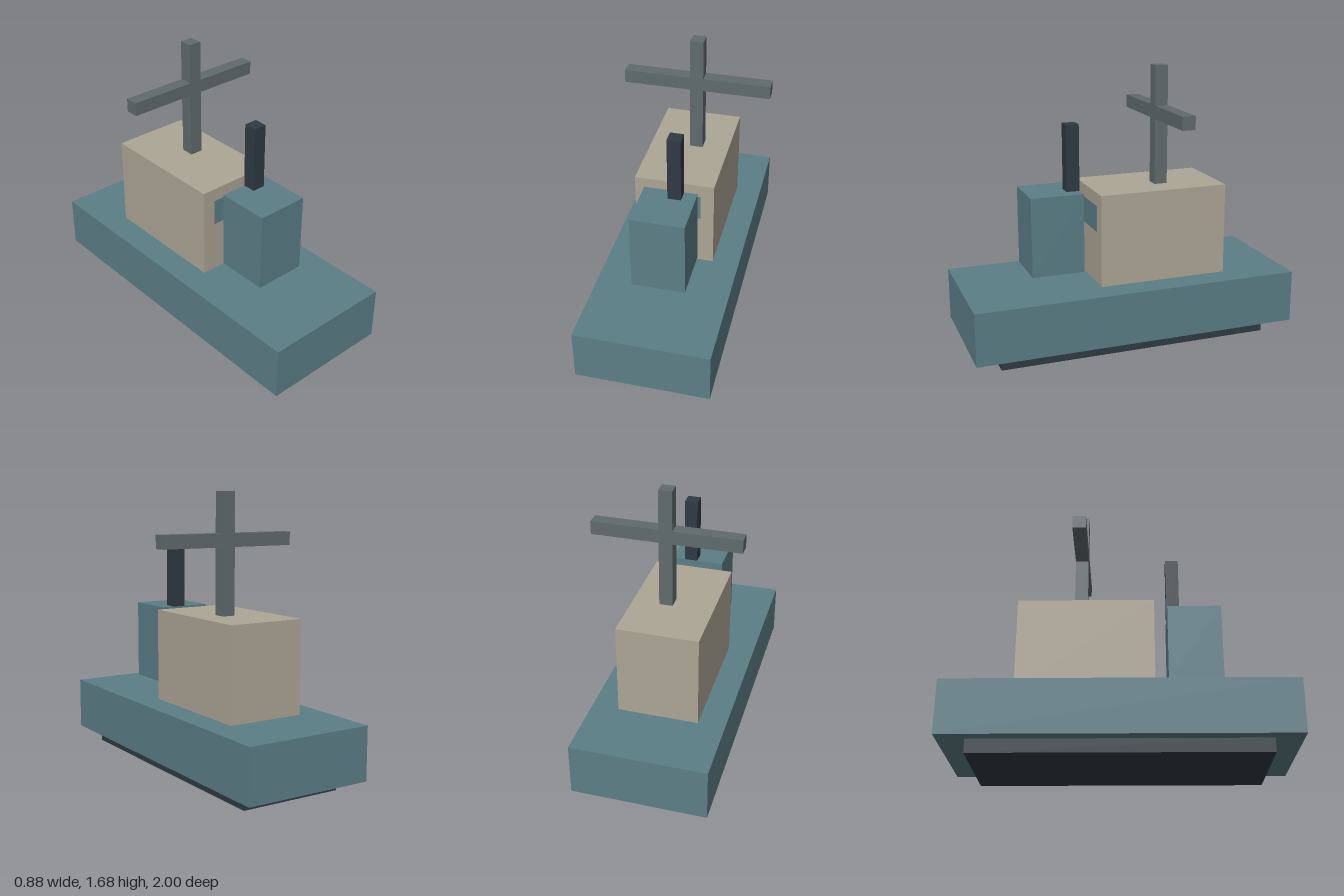
import * as THREE from 'three';

const paint = (color) => new THREE.MeshStandardMaterial({ color, flatShading: true });

export function createModel() {
  const model = new THREE.Group();
  const teal = paint(0x5b7e86), sand = paint(0xada695);
  const dark = paint(0x2f3a43), grey = paint(0x616b6c);

  // Box between two corners
  function block(name, material, [x0, y0, z0], [x1, y1, z1]) {
    const mesh = new THREE.Mesh(new THREE.BoxGeometry(x1 - x0, y1 - y0, z1 - z0), material);
    mesh.position.set((x0 + x1) / 2, (y0 + y1) / 2, (z0 + z1) / 2);
    mesh.name = name;
    model.add(mesh);
  }

  // Hull on its recessed keel
  block('keel', dark, [-0.36, 0, -0.84], [0.28, 0.08, 0.84]);
  block('hull', teal, [-0.44, 0.08, -1], [0.36, 0.4, 1]);

  // Cabin with a window strip across its front
  block('cabin', sand, [-0.28, 0.4, -0.6], [0.2, 0.96, 0.2]);
  block('cabinWindow', teal, [-0.2, 0.72, 0.12], [0.12, 0.88, 0.202]);

  // Raised block in front of the cabin, carrying the funnel
  block('frontBlock', teal, [-0.2, 0.48, 0.28], [0.12, 0.96, 0.6]);
  block('funnel', dark, [-0.04, 0.96, 0.28], [0.04, 1.36, 0.36]);

  // Mast and crossbar as one extruded cross
  const half = [[0.04, 0.96], [0.04, 1.36], [0.44, 1.36], [0.44, 1.44], [0.04, 1.44], [0.04, 1.68]];
  const outline = [...half, ...half.map(([x, y]) => [-x, y]).reverse()];
  const cross = new THREE.Shape(outline.map(([x, y]) => new THREE.Vector2(x, y)));
  const mast = new THREE.Mesh(
    new THREE.ExtrudeGeometry(cross, { depth: 0.08, bevelEnabled: false }), grey);
  mast.position.z = -0.28;
  mast.name = 'mast';
  model.add(mast);

  return model;
}
